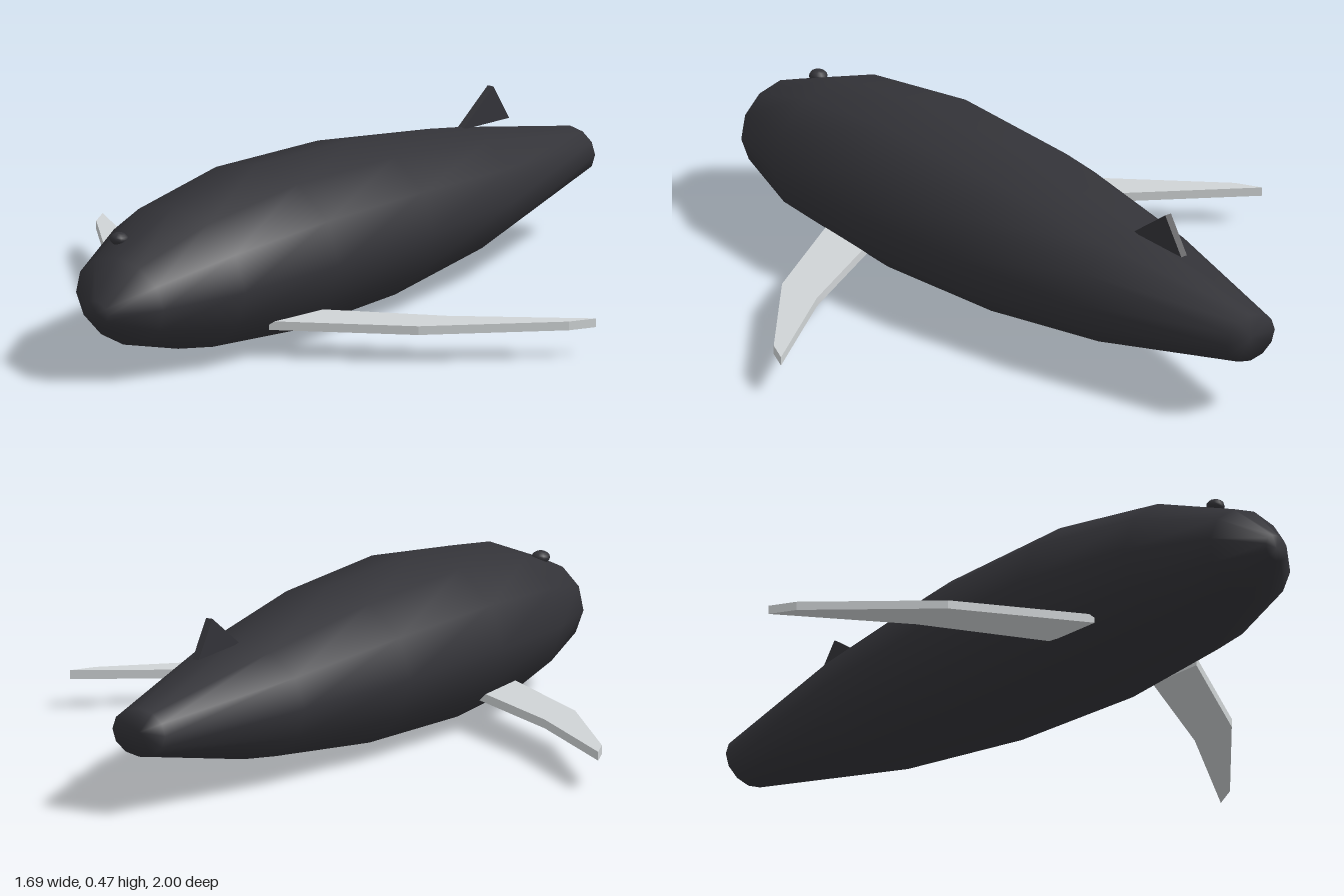
import * as THREE from 'three';

const skin = new THREE.MeshStandardMaterial({ color: 0x333338 });
skin.name = 'dark skin';
const pale = new THREE.MeshStandardMaterial({ color: 0xcfd3d5 });
pale.name = 'pale flipper';

const SIDES = 12;
// Body rings from nose to tail: [top z, top y, bottom z, bottom y, half width]
const RINGS = [
  [1.0, 0.23, 0.99, 0.16, 0.04],
  [0.91, 0.33, 0.88, 0.085, 0.15],
  [0.67, 0.42, 0.65, 0.025, 0.24],
  [0.32, 0.463, 0.31, 0, 0.28],
  [-0.1, 0.447, -0.1, 0.01, 0.265],
  [-0.53, 0.387, -0.5, 0.055, 0.205],
  [-1.0, 0.292, -1.0, 0.16, 0.085],
];

// Smooth loft through the rings, closed at both ends
function bodyGeometry() {
  const pos = [], index = [];
  for (const [tz, ty, bz, by, w] of RINGS) {
    for (let i = 0; i < SIDES; i++) {
      const a = (i / SIDES) * Math.PI * 2;
      const t = (1 + Math.cos(a)) / 2;
      pos.push(w * Math.sin(a), by + (ty - by) * t, bz + (tz - bz) * t);
    }
  }
  for (let r = 0; r < RINGS.length - 1; r++) {
    for (let i = 0; i < SIDES; i++) {
      const a = r * SIDES + i, b = r * SIDES + (i + 1) % SIDES;
      index.push(a, b, a + SIDES, b, b + SIDES, a + SIDES);
    }
  }
  const last = (RINGS.length - 1) * SIDES, nose = RINGS.length * SIDES;
  pos.push(0, 0.195, 0.995, 0, 0.226, -1);
  for (let i = 0; i < SIDES; i++) {
    const j = (i + 1) % SIDES;
    index.push(nose, j, i, nose + 1, last + i, last + j);
  }
  const g = new THREE.BufferGeometry();
  g.setAttribute('position', new THREE.Float32BufferAttribute(pos, 3));
  g.setIndex(index);
  g.computeVertexNormals();
  return g;
}

// Flat plate from an outline, centred on its thickness
function plate(points, depth) {
  const shape = new THREE.Shape(points.map(([x, y]) => new THREE.Vector2(x, y)));
  const g = new THREE.ExtrudeGeometry(shape, { depth, bevelEnabled: false });
  return g.translate(0, 0, -depth / 2);
}

export function createModel() {
  const model = new THREE.Group();
  const add = (name, geometry, material) => {
    const mesh = new THREE.Mesh(geometry, material);
    mesh.name = name;
    model.add(mesh);
    return mesh;
  };

  add('body', bodyGeometry(), skin);

  // Swept flippers, outline in x and z
  const outline = [[0.19, 0.5], [0.53, 0.29], [0.81, 0.0], [0.845, -0.07], [0.52, 0.16], [0.19, 0.335]];
  for (const [name, side] of [['leftFlipper', 1], ['rightFlipper', -1]]) {
    const g = plate(outline.map(([x, z]) => [x * side, z]), 0.024);
    add(name, g.rotateX(Math.PI / 2).translate(0, 0.09, 0), pale);
  }

  // Dorsal fin, outline in z and y
  const fin = plate([[0.535, 0.38], [0.73, 0.372], [0.665, 0.472]], 0.02);
  add('dorsalFin', fin.rotateY(Math.PI / 2), skin);

  // Blowhole bump, off centre on the head
  const blowhole = add('blowhole', new THREE.SphereGeometry(0.025, 10, 8), skin);
  blowhole.scale.y = 0.7;
  blowhole.position.set(-0.06, 0.355, 0.825);

  return model;
}
